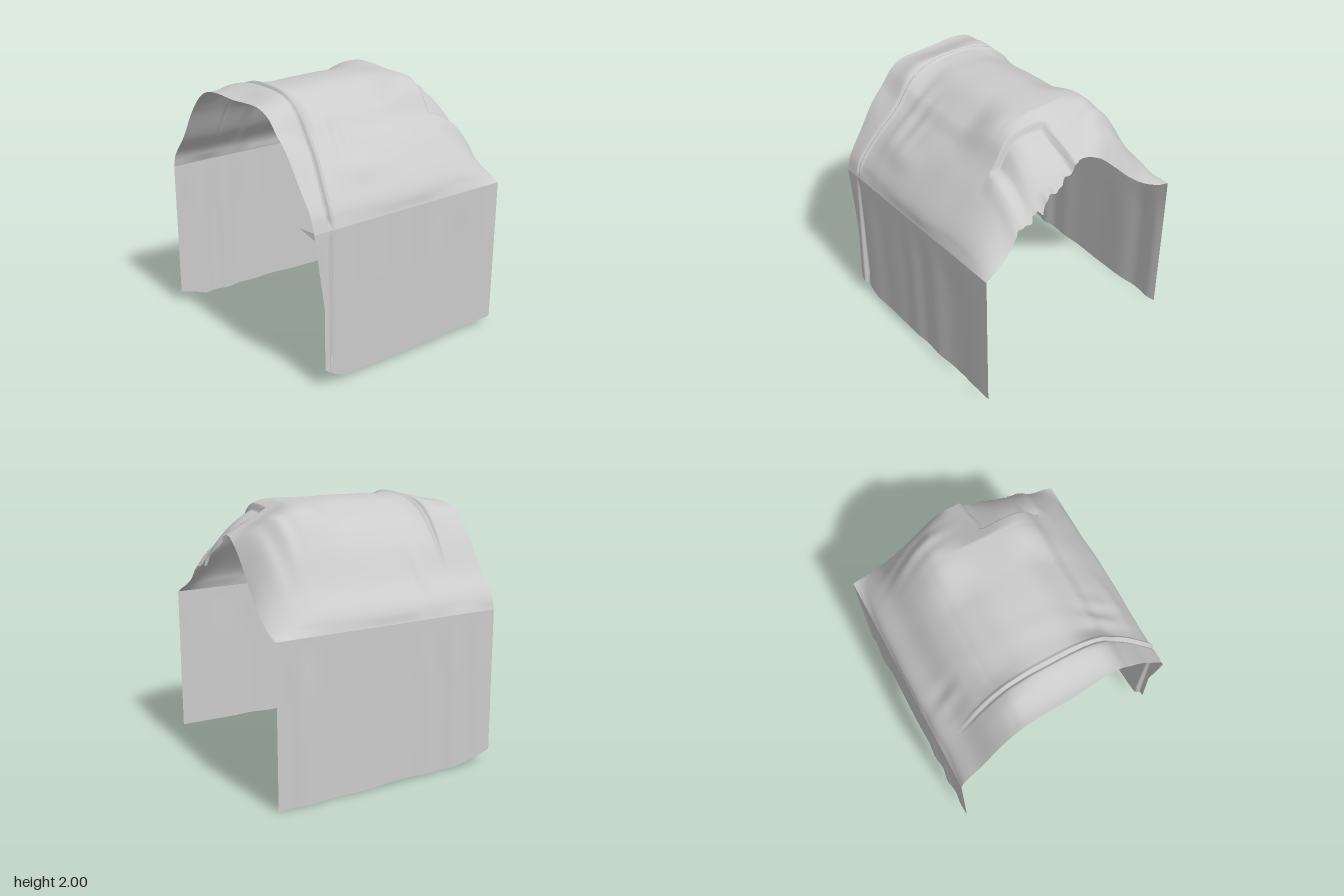
import * as THREE from 'three';

const { lerp, smoothstep, clamp } = THREE.MathUtils;
const bump = (x, c, w) => Math.exp(-(((x - c) / w) ** 2));
const section = (pts) => new THREE.CatmullRomCurve3(
  pts.map(([z, y]) => new THREE.Vector3(0, y, z)), false, 'centripetal');

// Piecewise-linear lookup through [key, value] pairs
function ramp(x, pts) {
  for (let i = 1; i < pts.length; i++) {
    const [a, va] = pts[i - 1], [b, vb] = pts[i];
    if (x <= b) return lerp(va, vb, clamp((x - a) / (b - a), 0, 1));
  }
  return pts[pts.length - 1][1];
}

// Arch sections (z, y), front eave to back eave
const fullArch = section([
  [0.875, 1.19], [0.84, 1.31], [0.67, 1.55], [0.51, 1.74], [0.4, 1.9], [0.29, 1.97], [0, 1.99],
  [-0.32, 1.97], [-0.42, 1.9], [-0.55, 1.73], [-0.7, 1.48], [-0.84, 1.3], [-0.875, 1.2]]);
const saggedArch = section([
  [0.875, 1.19], [0.8, 1.23], [0.68, 1.3], [0.55, 1.43], [0.42, 1.56], [0.22, 1.67], [0, 1.77],
  [-0.15, 1.72], [-0.3, 1.59], [-0.45, 1.44], [-0.6, 1.32], [-0.77, 1.23], [-0.875, 1.2]]);

// Cloth grid from a rule (u across x, v along the drape)
function cloth(name, nu, nv, rule) {
  const pos = [], index = [];
  for (let j = 0; j <= nv; j++)
    for (let i = 0; i <= nu; i++) pos.push(...rule(i / nu, j / nv));
  for (let j = 0; j < nv; j++)
    for (let i = 0; i < nu; i++) {
      const a = j * (nu + 1) + i, b = a + 1, c = a + nu + 1, d = c + 1;
      index.push(a, b, d, a, d, c);
    }
  const geo = new THREE.BufferGeometry();
  geo.setAttribute('position', new THREE.Float32BufferAttribute(pos, 3));
  geo.setIndex(index);
  geo.computeVertexNormals();
  const mesh = new THREE.Mesh(geo, new THREE.MeshStandardMaterial({
    color: 0xcccccc, roughness: 0.9, side: THREE.DoubleSide }));
  mesh.name = name;
  return mesh;
}

// Irregular vertical folds
const folds = (x, phase) =>
  Math.sin(x * 17 + phase + 2.5 * Math.sin(x * 4 + phase)) * (0.55 + 0.45 * Math.sin(x * 5 - phase));

function canopyPoint(u, v) {
  const full = fullArch.getPoint(v), sag = saggedArch.getPoint(v), tan = fullArch.getTangent(v);
  const z0 = full.z;
  const left = ramp(z0, [[-0.88, -0.9], [0, -0.87], [0.45, -0.83], [0.88, -0.8]]);
  const right = ramp(z0, [[-0.88, 0.9], [-0.4, 0.86], [0, 0.84], [0.5, 0.86], [0.88, 0.9]]);
  let x = lerp(left, right, u);

  // Rounder, lower shoulders in the middle; wide shoulders towards both ends
  const lowFront = smoothstep(x, -0.66, -0.45) * (1 - smoothstep(x, 0.08, 0.38));
  const lowBack = smoothstep(x, -0.72, -0.45) * (1 - smoothstep(x, 0.05, 0.4));
  let yFull = full.y - 0.08 * lowFront * bump(z0, 0.36, 0.15) - 0.08 * lowBack * bump(z0, -0.36, 0.18);
  const endStrip = 1 - smoothstep(x, -0.85, -0.6);
  yFull += endStrip * (0.055 * bump(z0, 0.57, 0.13) - 0.06 * bump(z0, 0, 0.4) - 0.025 * bump(z0, -0.35, 0.15));

  // Sag towards the left end: even at the ridge, late and steep on the back slope
  const t = clamp((x - 0.42) / (right - 0.42), 0, 1);
  const slow = smoothstep(Math.abs(z0), 0.05, 0.5) * (z0 < 0 ? 1.7 : 1.2);
  const w = Math.pow(t, 1.05 + slow);
  let y = lerp(yFull, sag.y, w), z = lerp(z0, sag.z, w);

  // Torn stretch of the left edge
  const torn = smoothstep(sag.z, 0, 0.08) * (1 - smoothstep(sag.z, 0.5, 0.62)) * smoothstep(t, 0.88, 1);
  const tooth = 0.6 * Math.sin(v * 95) + 0.4 * Math.sin(v * 223);
  x += 0.015 * torn * tooth;
  y -= torn * (0.06 * bump(sag.z, 0.38, 0.03) + 0.01 * tooth);

  // Seam ridge and its groove, bending outwards down the front
  let d = 0;
  const seam = -0.59 - 0.07 * smoothstep(z0, 0.5, 0.88);
  const seamFade = smoothstep(z0, -0.75, -0.5);
  d += seamFade * (0.012 * bump(x, seam + 0.012, 0.012) - 0.02 * bump(x, seam - 0.008, 0.01));

  // Sunken square patch
  const patch = smoothstep(x, 0.505, 0.52) * smoothstep(z, 0.06, 0.075) * (1 - smoothstep(z, 0.49, 0.54));
  d -= 0.045 * patch;
  d += 0.015 * bump(z, 0.56, 0.05) * smoothstep(x, 0.48, 0.6);

  // Wrinkles and gentle dents
  d += 0.006 * Math.sin(x * 5.5 + 1.6) + 0.004 * folds(x + 0.15 * z, 1);
  d += 0.008 * Math.sin(x * 36 + z * 9) * bump(x, -0.38, 0.14) * bump(z, 0.52, 0.15);
  d += 0.01 * Math.sin(x * 40 - z * 6) * bump(x, 0.65, 0.14) * bump(z, -0.4, 0.2);
  d += 0.01 * Math.sin(x * 30) * bump(x, -0.35, 0.12) * bump(z, -0.68, 0.1);
  d += 0.02 * bump(x, -0.3, 0.2) * bump(z, 0.7, 0.06);

  // Displace along the outward normal, held still at the eaves
  d *= smoothstep(v, 0, 0.06) * (1 - smoothstep(v, 0.94, 1));
  return [x, Math.min(2, y - d * tan.z), z + d * tan.y];
}

function frontPoint(u, v) {
  const y0 = lerp(0.04, 1.19, v);
  const x = lerp(ramp(y0, [[0.04, -0.73], [0.57, -0.725], [1.19, -0.8]]), 0.9, u);
  const hem = ramp(x, [[-0.73, 0.16], [-0.63, 0.08], [-0.54, 0.045], [0, 0.04], [0.25, 0.05], [0.9, 0.055]]);
  const y = lerp(hem, 1.19, v), drop = 1 - v;
  // Tucked strip beside the seam stands proud of the panel
  const strip = 1 - smoothstep(x, -0.685, -0.665);
  const groove = bump(x, -0.66, 0.01) * smoothstep(y, 0.17, 0.24);
  const z = 0.875 - 0.005 * drop + 0.032 * strip * drop
    - 0.012 * groove * smoothstep(drop, 0, 0.1) + 0.007 * folds(x, 0.4) * smoothstep(drop, 0, 0.4);
  return [x, y, z];
}

function backPoint(u, v) {
  const x = lerp(-0.9, 0.9, u);
  const hem = ramp(x, [[-0.9, 0.1], [-0.8, 0.07], [-0.68, 0.03], [-0.5, 0.02], [0, 0.02], [0.2, 0.005], [0.9, 0]]);
  const z = -0.875 - 0.008 * v + 0.009 * folds(x, 2.1) * smoothstep(v, 0, 0.4);
  return [x, lerp(1.2, hem, v), z];
}

// Loose pointed scrap at the front eave
function scrapPoint(u, v) {
  return [lerp(-0.795, -0.84, v), lerp(lerp(1.15, 1.2, u), 1.215, v), lerp(0.873, 0.76, v)];
}

export function createModel() {
  const model = new THREE.Group();
  model.name = 'drapedCloth';
  model.add(
    cloth('canopy', 220, 200, canopyPoint),
    cloth('frontCurtain', 170, 40, frontPoint),
    cloth('backCurtain', 170, 40, backPoint),
    cloth('looseScrap', 1, 4, scrapPoint));
  return model;
}
